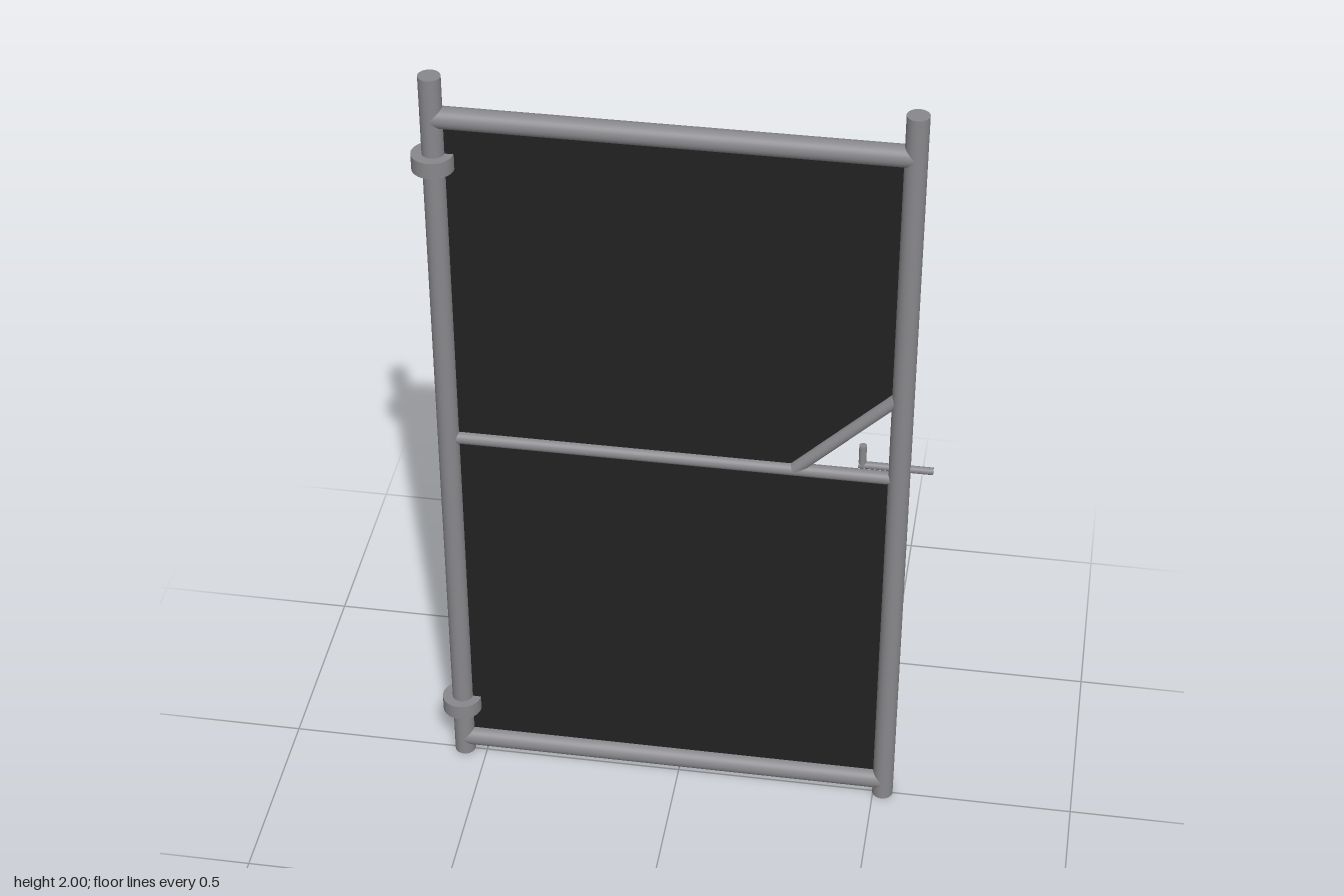
import * as THREE from 'three';

export function createModel() {
  const group = new THREE.Group();
  group.name = 'gate';
  const steel = new THREE.MeshStandardMaterial({ color: 0x88888c });
  steel.name = 'galvanised steel';
  const mesh = new THREE.MeshStandardMaterial({ color: 0x222222, side: THREE.DoubleSide });
  mesh.name = 'dark infill';

  // Round bar between two points in the gate plane
  function bar(name, x1, y1, x2, y2, radius) {
    const length = Math.hypot(x2 - x1, y2 - y1);
    const part = new THREE.Mesh(new THREE.CylinderGeometry(radius, radius, length, 32), steel);
    part.position.set((x1 + x2) / 2, (y1 + y2) / 2, 0);
    part.rotation.z = Math.atan2(y2 - y1, x2 - x1) - Math.PI / 2;
    part.name = name;
    group.add(part);
  }

  // Flat infill panel from its outline
  function panel(name, points) {
    const shape = new THREE.Shape(points.map(([x, y]) => new THREE.Vector2(x, y)));
    const part = new THREE.Mesh(new THREE.ShapeGeometry(shape), mesh);
    part.name = name;
    group.add(part);
  }

  const hingeX = -0.557, latchX = 0.524, r = 0.026;

  // Frame
  bar('hingePost', hingeX, 0, hingeX, 2, r);
  bar('latchPost', latchX, 0, latchX, 2, r);
  bar('topRail', hingeX, 1.895, latchX, 1.895, r);
  bar('bottomRail', hingeX, 0.047, latchX, 0.047, r);
  bar('middleRail', hingeX, 1.006, latchX, 1.006, 0.016);
  bar('cornerBrace', 0.274, 1.006, latchX, 1.251, 0.016);

  // Hinge collars
  for (const y of [0.16, 1.781]) bar('hingeCollar', hingeX - 0.002, y - 0.02, hingeX - 0.002, y + 0.02, 0.049);

  // Sliding latch with upright handle
  bar('latchBolt', 0.427, 1.038, 0.603, 1.038, 0.009);
  bar('latchHandle', 0.436, 1.038, 0.436, 1.095, 0.009);

  // Infill, leaving the latch corner open
  panel('lowerInfill', [[hingeX, 0.06], [latchX, 0.06], [latchX, 1.006], [hingeX, 1.006]]);
  panel('upperInfill', [[hingeX, 1.006], [0.274, 1.006], [latchX, 1.251], [latchX, 1.866], [hingeX, 1.866]]);

  return group;
}
